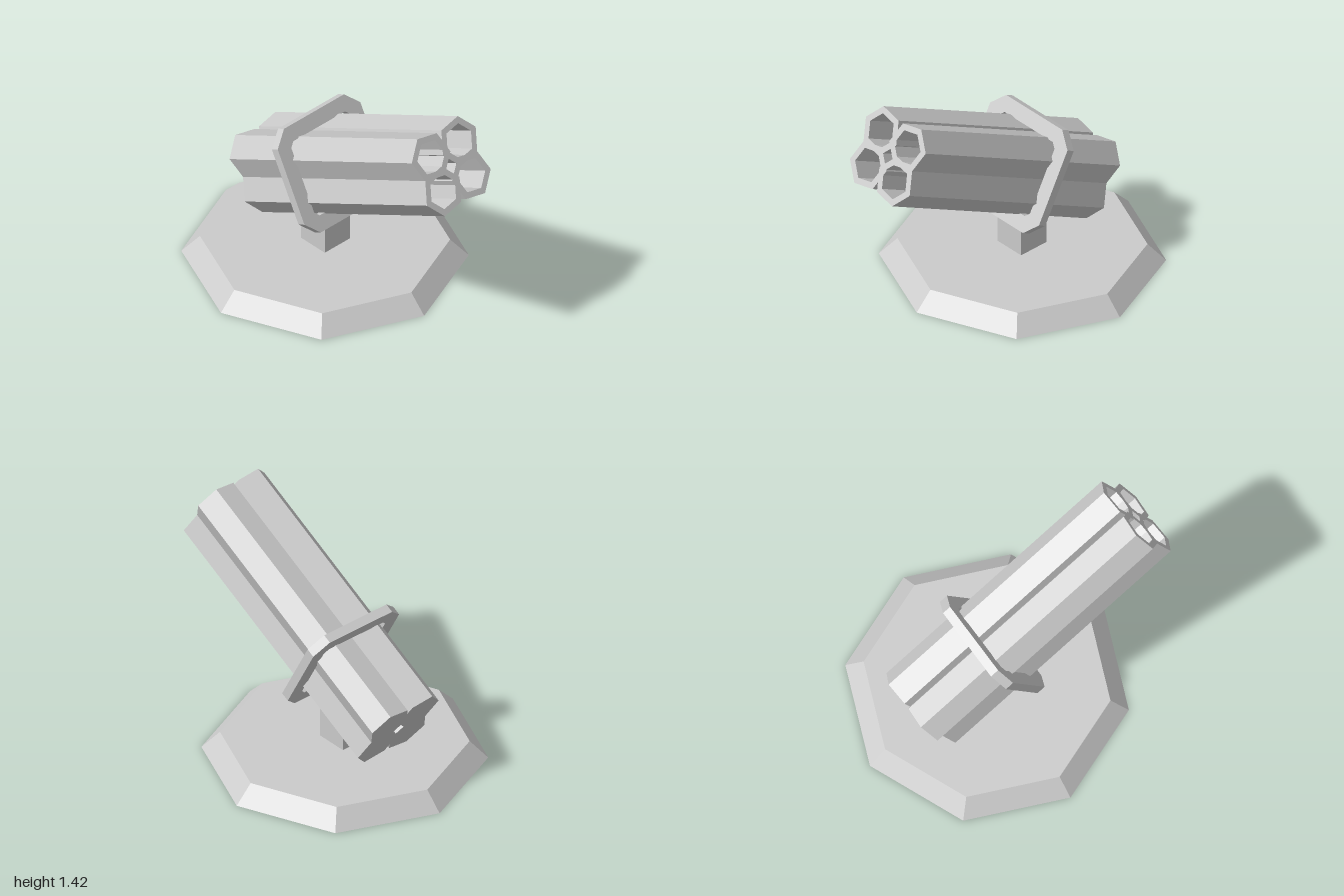
import * as THREE from 'three';

const material = new THREE.MeshStandardMaterial({ color: 0xcccccc, flatShading: true, side: THREE.DoubleSide });

function addMesh(parent, name, geometry) {
  const mesh = new THREE.Mesh(geometry, material);
  mesh.name = name;
  parent.add(mesh);
  return mesh;
}

// Hexagon in one quadrant, mirrored by the signs sx and sy
function hexagon(radius, sx, sy) {
  const points = [];
  for (let i = 0; i < 6; i++) {
    const a = THREE.MathUtils.degToRad(10.5 + i * 60);
    points.push(new THREE.Vector2(
      sx * (0.112 + radius * Math.cos(a)),
      sy * (0.108 + radius * Math.sin(a))
    ));
  }
  return points;
}

// Square with cut corners
function cutSquare(half, cut) {
  const h = half, c = half - cut;
  return [[h, -c], [h, c], [c, h], [-c, h], [-h, c], [-h, -c], [-c, -h], [c, -h]]
    .map(([x, y]) => new THREE.Vector2(x, y));
}

// Extrude a section along the barrel axis (local x) from one position to another
function extrudeAlongX(outline, hole, from, to) {
  const shape = new THREE.Shape(outline);
  if (hole) shape.holes.push(new THREE.Path(hole));
  const geometry = new THREE.ExtrudeGeometry(shape, { depth: to - from, bevelEnabled: false });
  geometry.rotateY(Math.PI / 2);
  geometry.translate(from, 0, 0);
  return geometry;
}

export function createModel() {
  const model = new THREE.Group();
  model.name = 'launcher';

  // Octagonal base, open underneath
  const base = addMesh(model, 'base', new THREE.LatheGeometry([
    new THREE.Vector2(0.827, 0),
    new THREE.Vector2(0.72, 0.11),
    new THREE.Vector2(0, 0.11)
  ], 8));
  base.position.x = -0.173;

  // Square post, reaching just through the base plate
  const post = addMesh(model, 'post', new THREE.BoxGeometry(0.2, 0.35, 0.2));
  post.position.set(-0.17, 0.275, 0);

  // Tilted barrel cluster
  const barrels = new THREE.Group();
  barrels.name = 'barrelCluster';
  barrels.position.set(0.12, 0.803, 0);
  barrels.rotation.z = THREE.MathUtils.degToRad(27.9);
  model.add(barrels);

  for (const sx of [1, -1]) {
    for (const sy of [1, -1]) {
      const bore = hexagon(0.103, sx, sy);
      addMesh(barrels, 'barrel', extrudeAlongX(hexagon(0.144, sx, sy), bore, -0.86, 0.86));
      // Plug closing the rear of the bore
      addMesh(barrels, 'barrelPlug', extrudeAlongX(bore, null, -0.86, -0.1));
    }
  }

  // Clamp ring around the barrels
  addMesh(barrels, 'clampRing',
    extrudeAlongX(cutSquare(0.328, 0.09), cutSquare(0.235, 0.03), -0.318, -0.262));

  return model;
}
